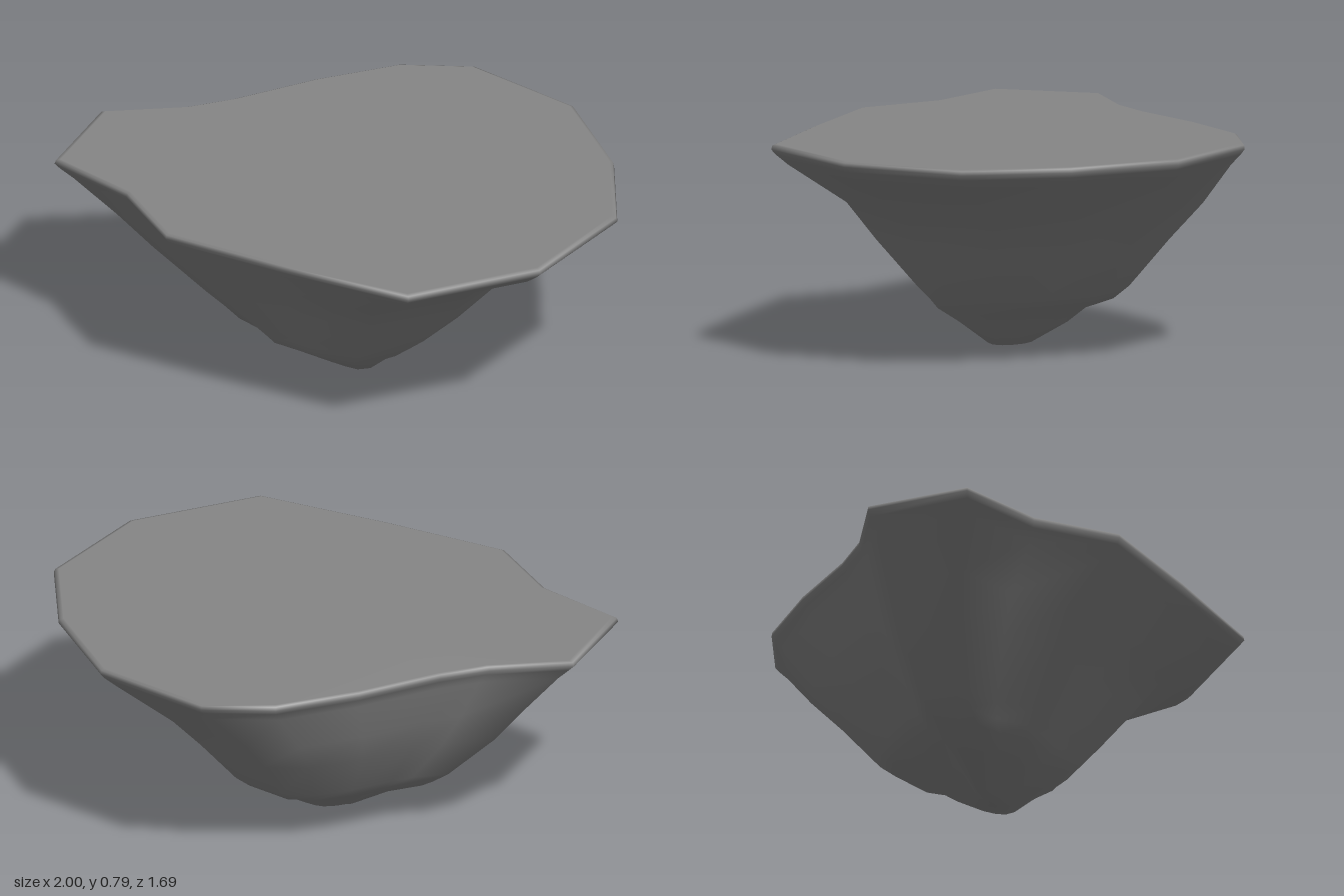
import * as THREE from 'three';

// Rim outline (x, z), clockwise seen from above
const OUTLINE = [
  [-0.15, -0.84], [0.32, -0.84], [0.70, -0.61], [0.97, -0.30], [1.0, 0.18],
  [0.75, 0.635], [0.25, 0.75], [-0.23, 0.84], [-0.54, 0.69], [-0.90, 0.665],
  [-1.0, 0.28], [-0.78, 0.06], [-0.68, -0.10], [-0.54, -0.40], [-0.37, -0.68],
];

// Cross-sections from top to bottom: y, xMin, xMax, zMin, zMax, roundness
const SECTIONS = [
  [0.79, -0.98, 0.98, -0.83, 0.83, 0],
  [0.785, -0.995, 0.995, -0.842, 0.842, 0],
  [0.77, -1.0, 1.0, -0.845, 0.845, 0],
  [0.75, -0.98, 0.98, -0.83, 0.83, 0],
  [0.71, -0.94, 0.93, -0.79, 0.79, 0],
  [0.55, -0.81, 0.64, -0.64, 0.65, 0.03],
  [0.41, -0.70, 0.54, -0.51, 0.54, 0.05],
  [0.23, -0.52, 0.38, -0.36, 0.40, 0.1],
  [0.18, -0.45, 0.32, -0.30, 0.36, 0.1],
  [0.14, -0.39, 0.27, -0.19, 0.33, 0.15],
  [0.09, -0.26, 0.20, -0.14, 0.25, 0.2],
  [0.01, -0.12, 0.11, -0.01, 0.13, 0.3],
];

// Fit the outline into a section's bounds, easing it towards an ellipse
function ring([y, x0, x1, z0, z1, round]) {
  return OUTLINE.map(([x, z]) => {
    const u = x, v = z / 0.84, r = Math.hypot(u, v);
    const k = 1 + round * (1 / r - 1);
    return [(x0 + x1) / 2 + u * k * (x1 - x0) / 2, y, (z0 + z1) / 2 + v * k * (z1 - z0) / 2];
  });
}

function rockGeometry() {
  const n = OUTLINE.length, last = (SECTIONS.length - 1) * n;
  const points = SECTIONS.flatMap(ring);
  const top = points.push([0, 0.79, 0]) - 1;
  const bottom = points.push([0, 0, 0.06]) - 1;
  const index = [];
  for (let j = 0; j < n; j++) {
    const k = (j + 1) % n;
    // flat top and small foot
    index.push(top, k, j, bottom, last + j, last + k);
    // tapering sides
    for (let s = 0; s < last; s += n) {
      const a = s + j, b = s + k, c = a + n, d = b + n;
      index.push(a, b, d, a, d, c);
    }
  }
  const geometry = new THREE.BufferGeometry();
  geometry.setAttribute('position', new THREE.Float32BufferAttribute(points.flat(), 3));
  geometry.setIndex(index);
  geometry.computeVertexNormals();
  return geometry;
}

export function createModel() {
  const group = new THREE.Group();
  group.name = 'floatingIsland';
  const rock = new THREE.Mesh(rockGeometry(), new THREE.MeshStandardMaterial({ color: 0x868686 }));
  rock.name = 'islandRock';
  group.add(rock);
  return group;
}
